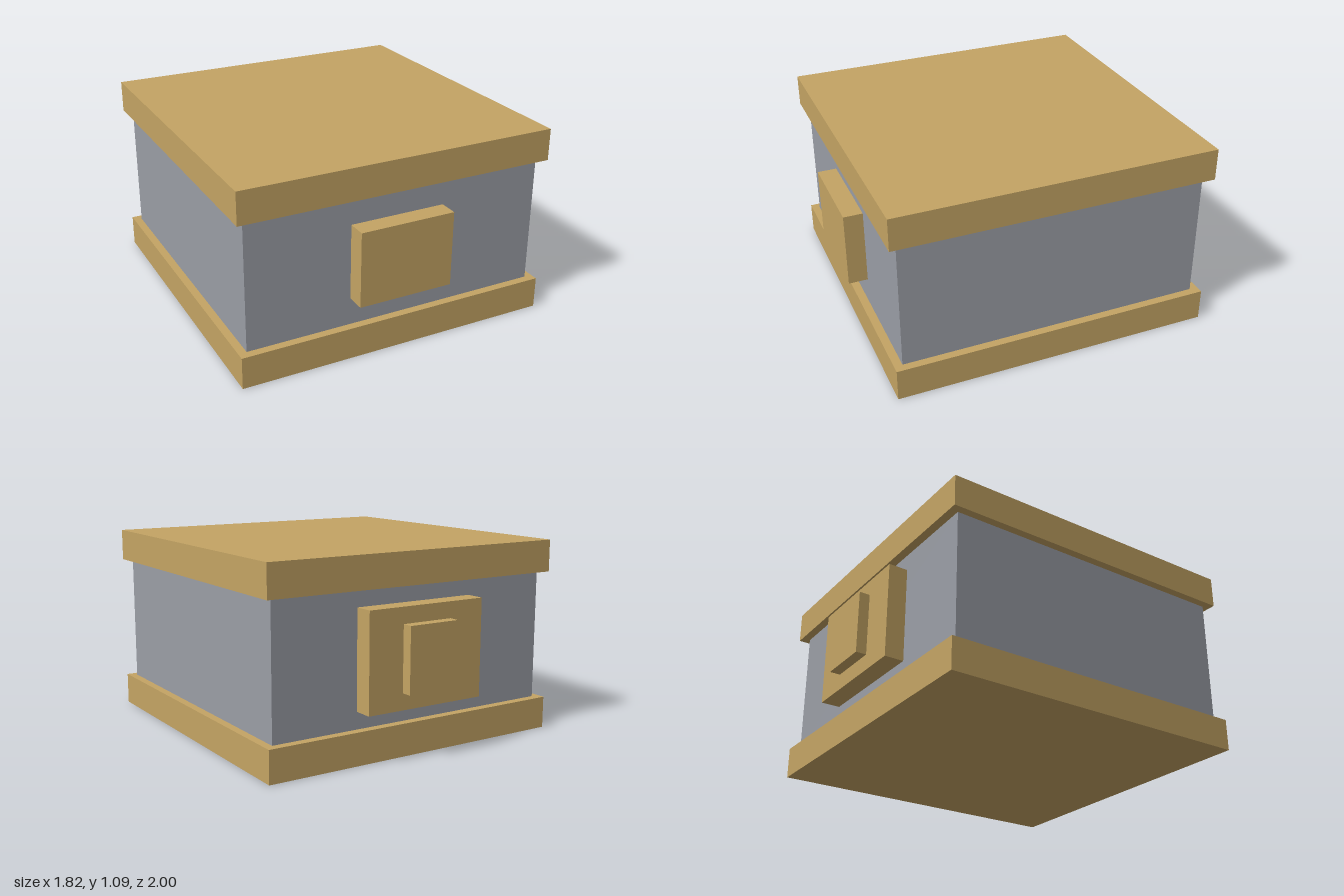
import * as THREE from 'three';

export function createModel() {
  const model = new THREE.Group();
  const gold = new THREE.MeshStandardMaterial({ color: 0xc4a464 });
  gold.name = 'gold';
  const grey = new THREE.MeshStandardMaterial({ color: 0x9b9ea6 });
  grey.name = 'grey';

  // Box centred on x, given its width and its y and z extents
  function addBox(name, material, width, [y0, y1], [z0, z1]) {
    const mesh = new THREE.Mesh(new THREE.BoxGeometry(width, y1 - y0, z1 - z0), material);
    mesh.position.set(0, (y0 + y1) / 2, (z0 + z1) / 2);
    mesh.name = name;
    model.add(mesh);
  }

  // Chest: walls between two overhanging slabs
  addBox('base', gold, 1.816, [0, 0.18], [-0.88, 0.938]);
  addBox('body', grey, 1.725, [0.18, 0.91], [-0.832, 0.892]);
  addBox('lid', gold, 1.816, [0.91, 1.09], [-0.88, 0.938]);

  // Front block and stepped back block
  addBox('frontPlate', gold, 0.545, [0.335, 0.76], [0.892, 1]);
  addBox('backPlate', gold, 0.726, [0.275, 0.818], [-0.94, -0.832]);
  addBox('backKnob', gold, 0.304, [0.367, 0.728], [-1, -0.94]);

  return model;
}
